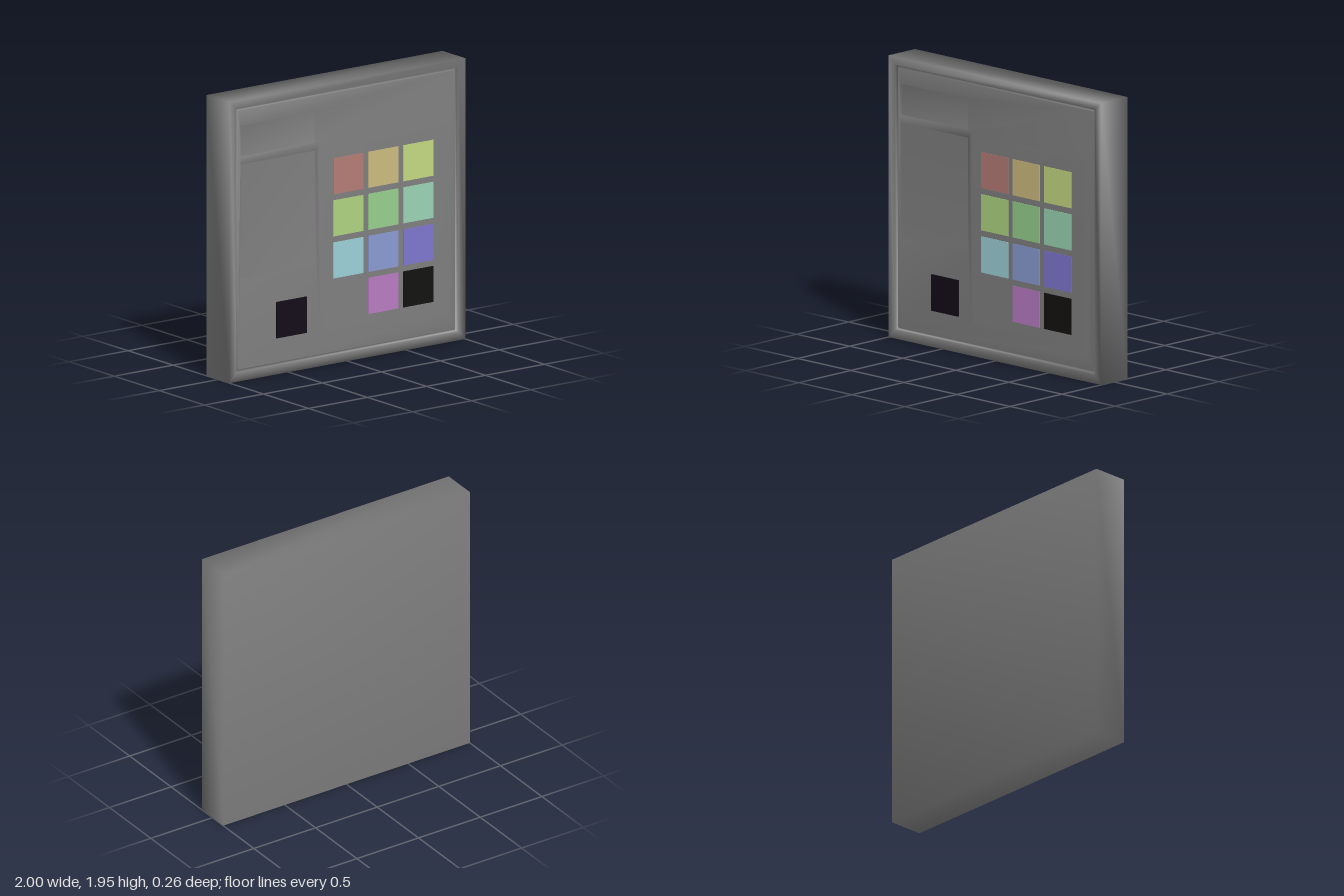
import * as THREE from 'three';
import { mergeGeometries, mergeVertices } from 'three/addons/utils/BufferGeometryUtils.js';

// rectangle as [x0, y0, x1, y1], with its corners counter-clockwise from the front
const corners = ([x0, y0, x1, y1]) => [[x0, y0], [x1, y0], [x1, y1], [x0, y1]];
const inset = ([x0, y0, x1, y1], d) => [x0 + d, y0 + d, x1 - d, y1 - d];

// strip of quads through successive rectangles, each given as [rect, z]
function loft(levels, capEnd = false, capStart = false) {
  const pos = [], index = [];
  levels.forEach(([r, z]) => corners(r).forEach(([x, y]) => pos.push(x, y, z)));
  for (let k = 0; k + 1 < levels.length; k++) {
    for (let i = 0; i < 4; i++) {
      const a = k * 4 + i, b = k * 4 + (i + 1) % 4;
      index.push(a, b, b + 4, a, b + 4, a + 4);
    }
  }
  const e = (levels.length - 1) * 4;
  if (capEnd) index.push(e, e + 1, e + 2, e, e + 2, e + 3);
  if (capStart) index.push(0, 2, 1, 0, 3, 2);
  const g = new THREE.BufferGeometry();
  g.setAttribute('position', new THREE.Float32BufferAttribute(pos, 3));
  g.setIndex(index);
  return g;
}

// flat sheet with rectangular openings
function sheet(rect, holes, z) {
  const toPoints = r => corners(r).map(c => new THREE.Vector2(...c));
  const shape = new THREE.Shape(toPoints(rect));
  holes.forEach(h => shape.holes.push(new THREE.Path(toPoints(h))));
  const g = new THREE.ShapeGeometry(shape).translate(0, 0, z);
  g.deleteAttribute('normal');
  g.deleteAttribute('uv');
  return g;
}

export function createModel() {
  const group = new THREE.Group();
  const add = (name, geometry, color) => {
    const mesh = new THREE.Mesh(geometry, new THREE.MeshStandardMaterial({ color }));
    mesh.name = name;
    group.add(mesh);
    return mesh;
  };

  const outer = [-1, 0, 1, 1.95];
  const grooveOuter = [-0.94, 0.06, 0.94, 1.895];
  const panel = inset(grooveOuter, 0.02);
  const windows = [[-0.9, 1.55, -0.26, 1.77], [-0.9, 0.7, -0.26, 1.5]];
  const padBase = [-0.23, 0.18, 0.87, 1.55];
  const padTop = [-0.2, 0.24, 0.83, 1.49];
  const FRONT = 0.125, PANEL = 0.115, PAD = 0.127;

  // Case, frame, groove, panel, windows and keypad share one smooth skin
  const skin = [
    loft([[outer, -0.13], [outer, FRONT], [grooveOuter, FRONT],
      [inset(grooveOuter, 0.004), 0.1], [inset(panel, -0.004), 0.1], [panel, PANEL]], false, true),
    sheet(panel, [...windows, padBase], PANEL),
    ...windows.map(w => loft([[w, PANEL], [inset(w, 0.003), 0.095]], true)),
    loft([[padBase, PANEL], [padTop, PAD]], true),
  ];
  const body = mergeVertices(mergeGeometries(skin), 1e-4);
  body.computeVertexNormals();
  add('body', body, 0x808080);

  // Coloured keys in three columns, with the bottom left place empty
  const keyColors = [
    [0xb67c77, 0xcdbc80, 0xc5d982],
    [0xafd681, 0x98d08d, 0x9bd4b5],
    [0x9dd2da, 0x8a9bd3, 0x7f77d0],
    [null, 0xb97cc4, 0x131211],
  ];
  keyColors.forEach((row, r) => row.forEach((color, c) => {
    if (color === null) return;
    const key = add(`key${r + 1}${c + 1}`, new THREE.BoxGeometry(0.255, 0.25, 0.01), color);
    key.position.set(0.003 + c * 0.297, 1.302 - r * 0.292, 0.125);
  }));

  // Dark square button under the windows
  add('darkButton', new THREE.BoxGeometry(0.255, 0.25, 0.015), 0x130c17).position.set(-0.472, 0.375, 0.1205);

  return group;
}
